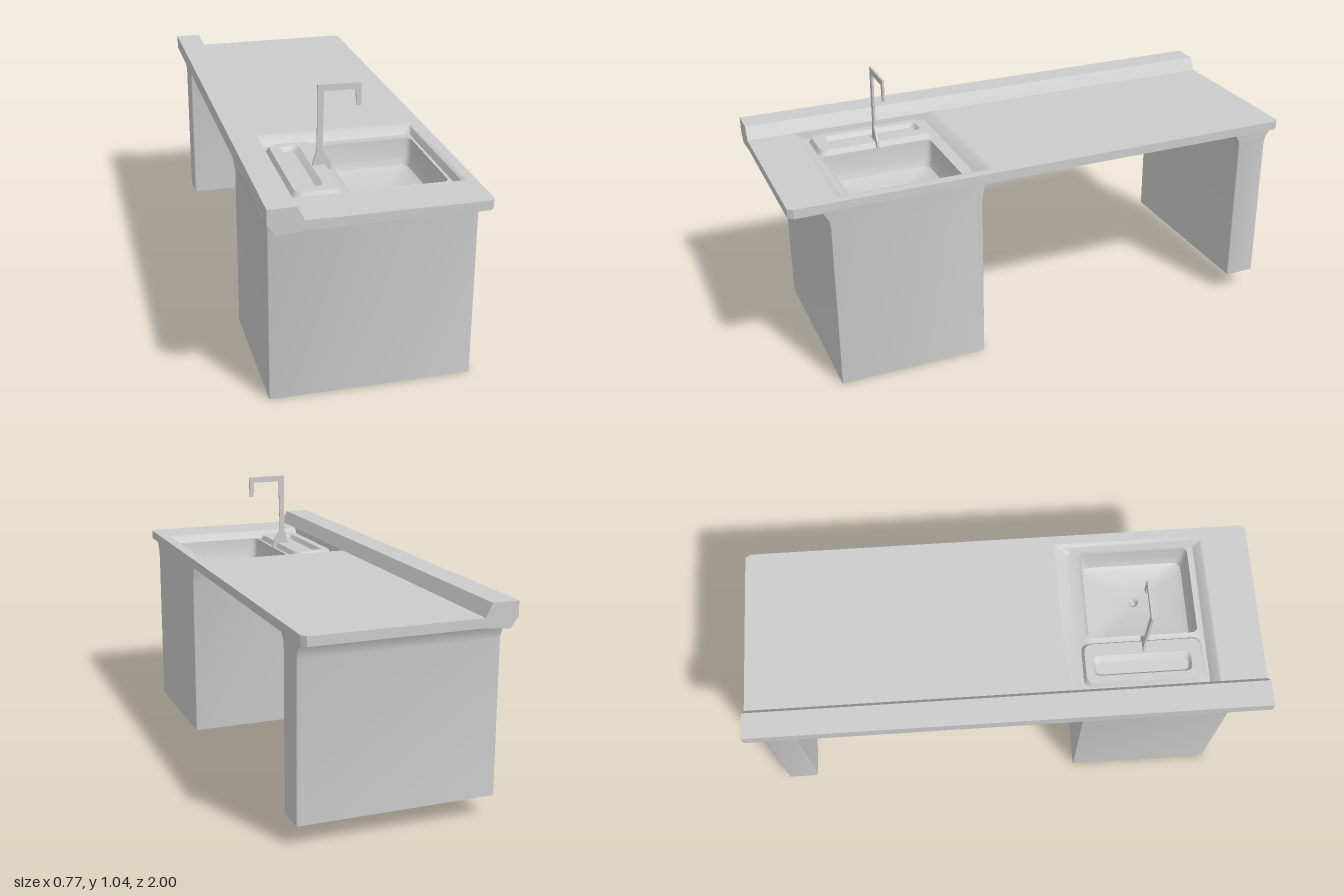
import * as THREE from 'three';
import { toCreasedNormals } from 'three/addons/utils/BufferGeometryUtils.js';

const material = new THREE.MeshStandardMaterial({ color: 0xcccccc, side: THREE.DoubleSide });

// Skin a stack of rounded rectangles: [x0, x1, z0, z1, y, cornerRadius]
function loft(rings) {
  const arc = 4, count = 4 * (arc + 1);
  const positions = [], index = [];
  for (const [x0, x1, z0, z1, y, r] of rings) {
    const corners = [[x1 - r, z0 + r], [x0 + r, z0 + r], [x0 + r, z1 - r], [x1 - r, z1 - r]];
    corners.forEach(([cx, cz], c) => {
      for (let i = 0; i <= arc; i++) {
        const a = (c + i / arc) * Math.PI / 2;
        positions.push(cx + r * Math.cos(a), y, cz - r * Math.sin(a));
      }
    });
  }
  for (let k = 0; k < rings.length - 1; k++) {
    for (let i = 0; i < count; i++) {
      const a = k * count + i, b = k * count + (i + 1) % count;
      index.push(a, b, b + count, a, b + count, a + count);
    }
  }
  const geometry = new THREE.BufferGeometry();
  geometry.setAttribute('position', new THREE.Float32BufferAttribute(positions, 3));
  geometry.setIndex(index);
  return toCreasedNormals(geometry, 0.6);
}

function polygon(points) {
  return new THREE.Shape(points.map(([x, y]) => new THREE.Vector2(x, y)));
}

export function createModel() {
  const group = new THREE.Group();
  const add = (name, geometry) => {
    const mesh = new THREE.Mesh(geometry, material);
    mesh.name = name;
    group.add(mesh);
    return mesh;
  };

  // Worktop slab with an opening for the sink unit
  const top = polygon([[-0.36, -1], [0.37, -1], [0.385, -0.98], [0.385, 0.98], [0.37, 1], [-0.36, 1]]);
  top.holes.push(polygon([[-0.28, -0.82], [-0.28, -0.23], [0.35, -0.23], [0.35, -0.82]]));
  const slab = new THREE.ExtrudeGeometry(top, { depth: 0.035, bevelEnabled: false });
  slab.rotateX(-Math.PI / 2);
  slab.translate(0, 0.715, 0);
  add('worktop', slab);

  // Raised rail along the back edge
  const rail = polygon([[-0.36, 0.705], [-0.26, 0.715], [-0.265, 0.75], [-0.29, 0.8], [-0.39, 0.8], [-0.39, 0.745]]);
  const railGeometry = new THREE.ExtrudeGeometry(rail, { depth: 2, bevelEnabled: false });
  railGeometry.translate(0, 0, -1);
  add('backRail', railGeometry);

  // Cabinet, flared where it meets the worktop and open under the sink
  add('cabinet', loft([
    [0.015, 0.015, 0.57, 0.57, 0, 0],
    [-0.36, 0.385, 0.285, 0.855, 0, 0.004],
    [-0.36, 0.385, 0.285, 0.855, 0.645, 0.004],
    [-0.365, 0.385, 0.28, 0.86, 0.68, 0.004],
    [-0.38, 0.385, 0.27, 0.885, 0.72, 0.004],
  ]));

  // Panel leg at the far end
  add('panelLeg', loft([
    [0.015, 0.015, -0.88, -0.88, 0.08, 0],
    [-0.36, 0.385, -0.94, -0.82, 0.08, 0.006],
    [-0.36, 0.385, -0.94, -0.82, 0.66, 0.006],
    [-0.365, 0.385, -0.945, -0.815, 0.69, 0.006],
    [-0.38, 0.385, -0.965, -0.795, 0.72, 0.006],
  ]));

  // Sunken surround stepping down into the basin
  add('sinkBasin', loft([
    [-0.28, 0.35, 0.23, 0.82, 0.75, 0],
    [-0.275, 0.335, 0.25, 0.81, 0.745, 0.01],
    [-0.27, 0.325, 0.28, 0.785, 0.72, 0.02],
    [-0.065, 0.32, 0.32, 0.77, 0.72, 0.02],
    [-0.05, 0.31, 0.33, 0.76, 0.725, 0.02],
    [-0.045, 0.305, 0.335, 0.755, 0.65, 0.025],
    [-0.035, 0.295, 0.345, 0.745, 0.622, 0.03],
    [-0.01, 0.275, 0.37, 0.72, 0.61, 0.04],
    [0.12, 0.16, 0.52, 0.56, 0.602, 0.02],
    [0.13, 0.15, 0.53, 0.55, 0.585, 0.01],
    [0.14, 0.14, 0.54, 0.54, 0.585, 0],
  ]));

  // Low ridge framing the tap deck
  add('tapDeckRidge', loft([
    [-0.25, -0.07, 0.3, 0.77, 0.72, 0.03],
    [-0.24, -0.08, 0.31, 0.76, 0.74, 0.03],
    [-0.21, -0.13, 0.34, 0.72, 0.74, 0.02],
    [-0.2, -0.15, 0.35, 0.71, 0.722, 0.02],
  ]));

  // Thin, flat tap with a flared foot and an angular spout
  const tap = polygon([
    [-0.13, 0.72], [-0.055, 0.72], [-0.06, 0.75], [-0.09, 0.8], [-0.085, 1.015],
    [0.03, 1.015], [0.033, 0.955], [0.05, 0.953], [0.05, 1.038], [-0.108, 1.04],
    [-0.11, 0.8], [-0.125, 0.75],
  ]);
  const tapGeometry = new THREE.ExtrudeGeometry(tap, { depth: 0.008, bevelEnabled: false });
  tapGeometry.translate(0, 0, 0.536);
  add('tap', tapGeometry);

  return group;
}
